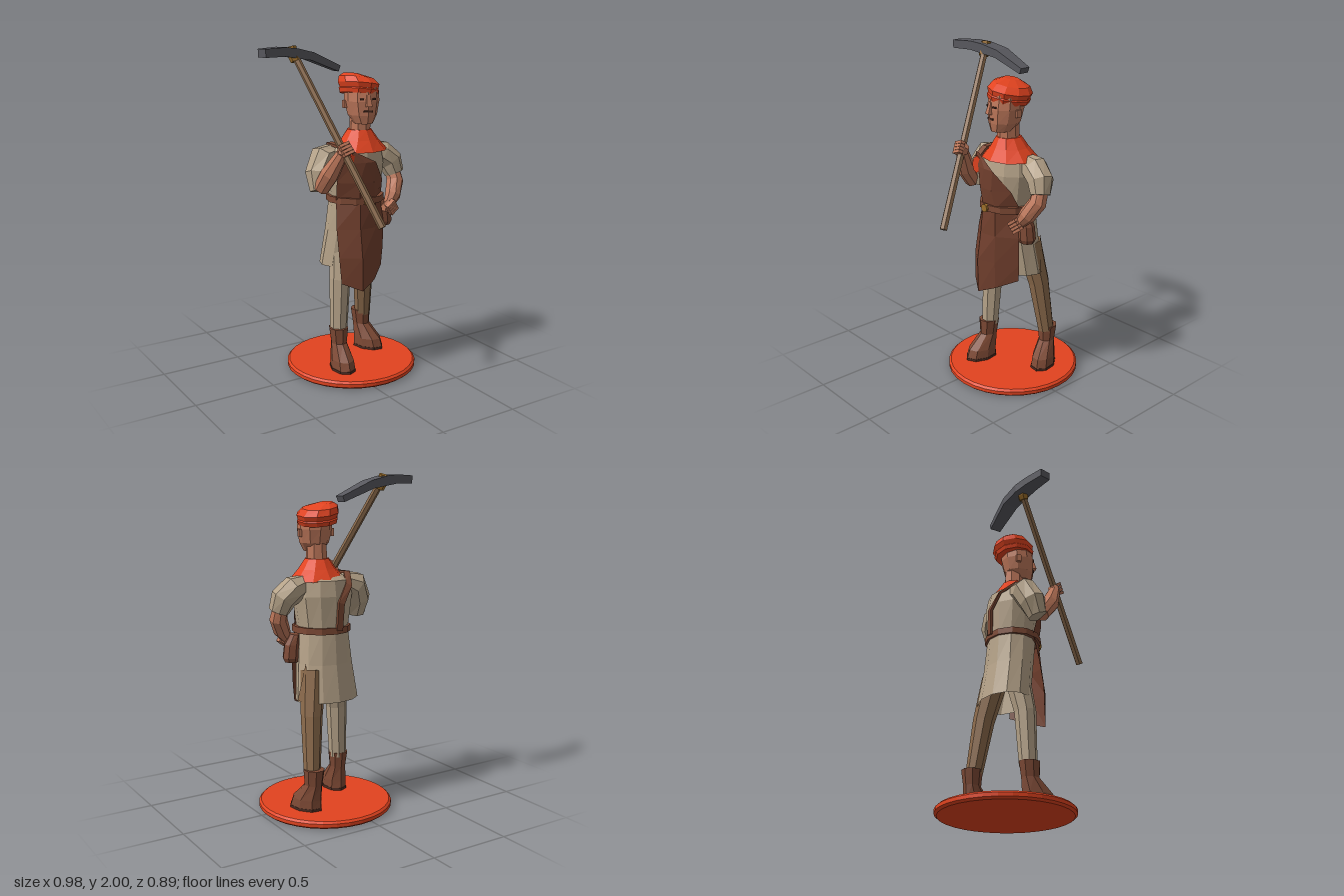
import * as THREE from 'three';

const mat = (name, color, side = THREE.FrontSide) => {
  const m = new THREE.MeshStandardMaterial({ color, side, flatShading: true });
  m.name = name;
  return m;
};

// Joins equal-length rings of points into a faceted skin
function skin(rings, capStart = true, capEnd = true) {
  const pos = [], n = rings[0].length;
  const tri = (...ps) => ps.forEach(p => pos.push(p.x, p.y, p.z));
  const mid = r => r.reduce((s, p) => s.add(p), new THREE.Vector3()).divideScalar(n);
  const last = rings[rings.length - 1], c0 = mid(rings[0]), c1 = mid(last);
  for (let j = 0; j < n; j++) {
    const k = (j + 1) % n;
    for (let i = 0; i + 1 < rings.length; i++) {
      const a = rings[i], b = rings[i + 1];
      tri(a[j], a[k], b[k]);
      tri(a[j], b[k], b[j]);
    }
    if (capStart) tri(c0, rings[0][k], rings[0][j]);
    if (capEnd) tri(c1, last[j], last[k]);
  }
  const g = new THREE.BufferGeometry();
  g.setAttribute('position', new THREE.Float32BufferAttribute(pos, 3));
  g.computeVertexNormals();
  return g;
}

// Level ellipses from bottom to top: [y, centreX, centreZ, radiusX, radiusZ]
function stack(levels, sides = 10, capStart = true, capEnd = true) {
  return skin(levels.map(([y, cx, cz, rx, rz]) => Array.from({ length: sides }, (_, j) => {
    const a = j / sides * Math.PI * 2;
    return new THREE.Vector3(cx + rx * Math.sin(a), y, cz + rz * Math.cos(a));
  })), capStart, capEnd);
}

// Rings set across a path: [x, y, z, radius, second radius]
function limb(path, sides = 8, ref = new THREE.Vector3(0, 0, 1)) {
  const p = path.map(q => new THREE.Vector3(q[0], q[1], q[2]));
  return skin(path.map(([, , , r1, r2 = r1], i) => {
    const t = p[Math.min(i + 1, p.length - 1)].clone().sub(p[Math.max(i - 1, 0)]).normalize();
    const u = ref.clone().cross(t).normalize(), v = t.clone().cross(u);
    return Array.from({ length: sides }, (_, j) => {
      const a = (j + 0.5) / sides * Math.PI * 2, k = sides === 4 ? Math.SQRT2 : 1;
      return p[i].clone().addScaledVector(u, k * r1 * Math.cos(a)).addScaledVector(v, k * r2 * Math.sin(a));
    });
  }));
}

export function createModel() {
  const model = new THREE.Group();
  model.name = 'worker figure';
  const red = mat('red', 0xe2431f);
  const cream = mat('cream cloth', 0xb5a288, THREE.DoubleSide);
  const tan = mat('tan cloth and wood', 0x8c6b4c, THREE.DoubleSide);
  const brown = mat('brown leather', 0x7e4a35);
  const apronBrown = mat('apron leather', 0x713f2d, THREE.DoubleSide);
  const skinTone = mat('skin', 0xbd775a);
  const steel = mat('steel', 0x58585e);
  const gold = mat('brass', 0x9c6e2a);
  const dark = mat('dark brown', 0x4a2c22);

  const add = (name, geo, material, parent = model) => {
    const m = new THREE.Mesh(geo, material);
    m.name = name;
    parent.add(m);
    return m;
  };
  const box = (name, size, at, material, parent) => {
    const m = add(name, new THREE.BoxGeometry(...size), material, parent);
    m.position.set(...at);
    return m;
  };

  // Round base with bevelled rim
  add('base', stack([[0, 0.08, -0.04, 0.39, 0.39], [0.012, 0.08, -0.04, 0.405, 0.405],
    [0.033, 0.08, -0.04, 0.405, 0.405], [0.045, 0.08, -0.04, 0.392, 0.392]], 32), red);

  // Legs
  add('rightLeg', limb([[-0.055, 0.27, 0.03, 0.053], [-0.04, 0.6, 0.02, 0.065], [0, 0.86, -0.02, 0.08]]), cream);
  add('leftLeg', limb([[0.248, 0.27, -0.165, 0.05], [0.222, 0.6, -0.12, 0.065], [0.18, 0.86, -0.07, 0.08]]), tan);

  // Boots: sole, foot and flared shaft
  const boot = (name, x, z, yaw) => {
    const g = new THREE.Group();
    g.name = name;
    g.position.set(x, 0, z);
    g.rotation.y = yaw;
    add('sole', stack([[0.044, 0, 0.06, 0.072, 0.11], [0.06, 0, 0.06, 0.072, 0.11]], 8), dark, g);
    add('upper', stack([[0.06, 0, 0.06, 0.07, 0.107], [0.11, 0, 0.052, 0.067, 0.098],
      [0.2, 0, 0.005, 0.049, 0.056], [0.295, 0, 0, 0.061, 0.065]], 8), brown, g);
    model.add(g);
  };
  boot('rightBoot', -0.06, 0.035, -0.12);
  boot('leftBoot', 0.243, -0.18, 0.42);

  // Tunic with open skirt, and the slit at its side
  add('tunic', stack([[0.68, 0.08, -0.06, 0.2, 0.145], [0.9, 0.08, -0.03, 0.175, 0.14],
    [1.1, 0.08, -0.01, 0.155, 0.145], [1.3, 0.08, -0.01, 0.185, 0.155],
    [1.39, 0.08, -0.01, 0.17, 0.14], [1.44, 0.085, 0, 0.08, 0.07]], 12, false), cream);
  add('tunicSlit', new THREE.BufferGeometry().setFromPoints([[0.288, 0.69, -0.07], [0.257, 0.69, -0.145],
    [0.247, 0.92, -0.1]].map(p => new THREE.Vector3(...p))), tan).geometry.computeVertexNormals();

  // Apron: rows of [y, left x, right x, four depths]
  const rows = [
    [1.405, -0.085, -0.03, 0.11, 0.125, 0.13, 0.135], [1.33, -0.09, 0.12, 0.1, 0.15, 0.165, 0.165],
    [1.21, -0.095, 0.21, 0.075, 0.16, 0.165, 0.1], [1.1, -0.085, 0.235, 0.05, 0.15, 0.15, 0.05],
    [0.93, -0.1, 0.245, 0.08, 0.165, 0.155, 0.07], [0.76, -0.1, 0.242, 0.11, 0.19, 0.155, 0.065],
    [0.555, -0.09, 0.235, 0.12, 0.19, 0.15, 0.06]];
  const hem = [0.045, 0, 0.045, 0.1];
  const apron = new THREE.PlaneGeometry(1, 1, 3, rows.length - 1);
  rows.forEach(([y, xl, xr, ...z], i) => z.forEach((d, j) => apron.attributes.position.setXYZ(
    i * 4 + j, xl + (xr - xl) * j / 3, y + (i === rows.length - 1 ? hem[j] : 0), d)));
  apron.computeVertexNormals();
  add('apron', apron, apronBrown);

  // Red patch on the bib
  const patch = add('bibPatch', new THREE.CylinderGeometry(0.03, 0.03, 0.008, 8), red);
  patch.rotation.set(Math.PI / 2, 0, -0.3);
  patch.scale.z = 1.7;
  patch.position.set(-0.035, 1.335, 0.146);

  // Belt, buckle, shoulder strap and pouch
  add('belt', stack([[1.08, 0.08, 0, 0.176, 0.171], [1.118, 0.08, 0, 0.176, 0.171]], 12), brown);
  const buckle = add('buckle', new THREE.CylinderGeometry(0.025, 0.025, 0.02, 8), gold);
  buckle.rotation.x = Math.PI / 2;
  buckle.position.set(0.065, 1.098, 0.172);
  add('shoulderStrap', limb([[-0.06, 1.37, 0.12], [-0.06, 1.42, 0.06], [-0.06, 1.425, -0.06], [-0.02, 1.36, -0.142],
    [0.05, 1.26, -0.172], [0.06, 1.1, -0.168]].map(p => [...p, 0.008, 0.02]), 4, new THREE.Vector3(1, 0, 0)), brown);
  add('pouch', stack([[0.905, 0.268, 0.03, 0.045, 0.04], [0.93, 0.27, 0.03, 0.055, 0.05],
    [1.01, 0.262, 0.03, 0.052, 0.048], [1.07, 0.245, 0.03, 0.03, 0.04]], 8), brown);

  // Sleeves and forearms
  add('rightSleeve', limb([[-0.05, 1.37, -0.04, 0.06], [-0.12, 1.35, -0.03, 0.085],
    [-0.172, 1.26, 0, 0.083], [-0.182, 1.165, 0.03, 0.06]]), cream);
  add('rightForearm', limb([[-0.185, 1.185, 0.05, 0.05], [-0.168, 1.28, 0.12, 0.056], [-0.125, 1.4, 0.18, 0.036]]), skinTone);
  add('leftSleeve', limb([[0.2, 1.37, -0.02, 0.055], [0.275, 1.345, -0.02, 0.08],
    [0.34, 1.29, -0.005, 0.078], [0.36, 1.215, 0.015, 0.06]]), cream);
  add('leftForearm', limb([[0.352, 1.25, 0, 0.045], [0.355, 1.17, 0.03, 0.053],
    [0.31, 1.09, 0.07, 0.05], [0.27, 1.04, 0.085, 0.033]]), skinTone);

  // Hands: palm with four fingers
  const hand = (name, at, rot) => {
    const g = new THREE.Group();
    g.name = name;
    g.position.set(...at);
    g.rotation.set(...rot);
    add('palm', new THREE.DodecahedronGeometry(0.046, 0), skinTone, g).scale.set(1, 0.9, 0.8);
    for (let i = 0; i < 4; i++) box('finger', [0.065, 0.017, 0.03], [0.005, (i - 1.5) * 0.019, 0.032], skinTone, g);
    model.add(g);
  };
  hand('rightHand', [-0.115, 1.415, 0.185], [-0.5, -0.2, 0.25]);
  hand('leftHand', [0.258, 1.03, 0.092], [0.1, 0.2, 0.6]);

  // Collar, neck and head
  add('collar', stack([[1.385, 0.1, 0.01, 0.178, 0.155], [1.45, 0.1, 0.015, 0.115, 0.11],
    [1.51, 0.098, 0.018, 0.072, 0.075]], 10), red);
  add('neck', stack([[1.47, 0.098, 0.02, 0.063, 0.066], [1.62, 0.1, 0.025, 0.06, 0.066]], 8), skinTone);
  const head = new THREE.Group();
  head.name = 'head';
  head.position.set(0.1, 0, 0.035);
  head.rotation.y = -0.2;
  model.add(head);
  add('face', stack([[1.55, 0, 0.035, 0.055, 0.065], [1.6, 0, 0.016, 0.086, 0.095],
    [1.68, 0, 0.008, 0.103, 0.107], [1.77, 0, 0, 0.1, 0.1]], 10), skinTone, head);
  add('nose', limb([[0, 1.652, 0.112, 0.018, 0.02], [0, 1.72, 0.103, 0.01, 0.008]], 4), skinTone, head);
  box('mouth', [0.055, 0.01, 0.008], [0, 1.625, 0.108], dark, head);
  for (const s of [-1, 1]) {
    box('eye', [0.024, 0.009, 0.008], [s * 0.038, 1.695, 0.105], dark, head).rotation.y = s * 0.3;
    box('ear', [0.018, 0.045, 0.03], [s * 0.1, 1.66, -0.015], skinTone, head);
  }

  // Soft cap, slumped to one side
  const cap = add('cap', stack([[0, 0, 0, 0.112, 0.125], [0.025, 0, 0, 0.12, 0.133], [0.032, 0, 0, 0.114, 0.126],
    [0.06, -0.003, -0.003, 0.124, 0.137], [0.095, -0.015, -0.015, 0.105, 0.11],
    [0.118, -0.04, -0.035, 0.045, 0.045]], 10), red);
  cap.position.set(0.092, 1.715, 0.017);
  cap.rotation.set(-0.1, 0, -0.15);

  // Pickaxe
  add('pickHandle', limb([[-0.01, 1.005, 0.425, 0.023], [-0.268, 1.975, -0.135, 0.021]], 6), tan);
  add('pickHead', limb([[-0.485, 1.962, -0.085, 0.024, 0.035], [-0.35, 1.966, -0.112, 0.026, 0.044],
    [-0.27, 1.957, -0.13, 0.028, 0.048], [-0.15, 1.935, -0.147, 0.024, 0.047],
    [0.045, 1.856, -0.152, 0.018, 0.034]], 4), steel);
  add('pickSocket', limb([[-0.257, 1.91, -0.105, 0.03], [-0.262, 1.935, -0.115, 0.034],
    [-0.268, 1.975, -0.132, 0.028], [-0.27, 1.99, -0.137, 0.03]], 6), gold);
  return model;
}
